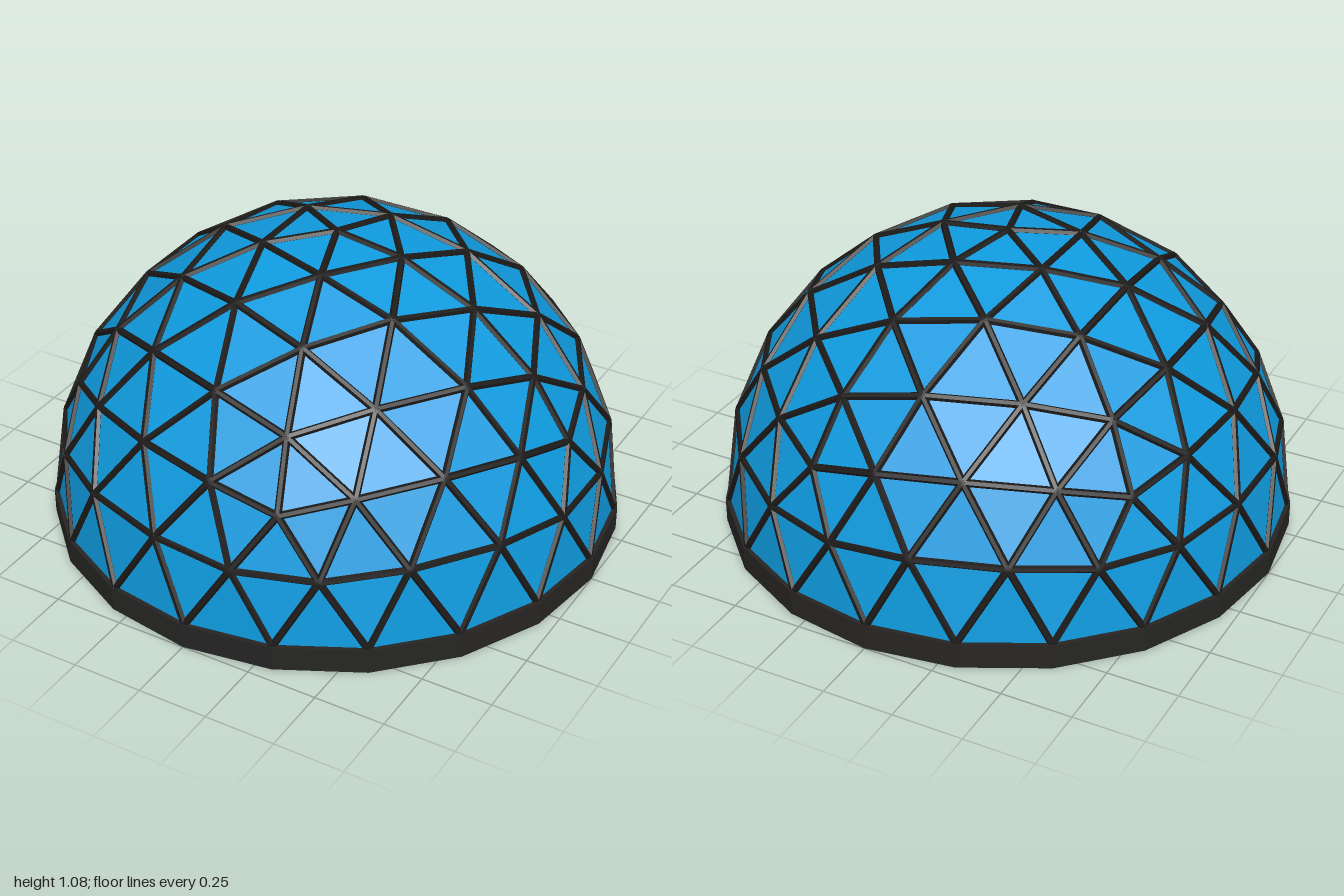
import * as THREE from 'three';
import { mergeGeometries } from 'three/addons/utils/BufferGeometryUtils.js';

const R = 0.985;        // dome radius
const BASE_Y = 0.083;   // height of the dome's equator
const FREQ = 4;         // subdivisions per icosahedron edge
const STRUT = 0.0125;   // strut radius

// Point of a unit sphere at an azimuth (degrees) and height
function onSphere(deg, y) {
  const a = THREE.MathUtils.degToRad(deg), r = Math.sqrt(1 - y * y);
  return new THREE.Vector3(r * Math.cos(a), y, r * Math.sin(a));
}

// Split an icosahedron face into FREQ * FREQ triangles pushed out to the sphere
function subdivide(a, b, c) {
  const at = (i, j) => a.clone().multiplyScalar(FREQ - i - j)
    .addScaledVector(b, i).addScaledVector(c, j).setLength(R);
  const out = [];
  for (let i = 0; i < FREQ; i++) {
    for (let j = 0; j < FREQ - i; j++) {
      out.push([at(i, j), at(i + 1, j), at(i, j + 1)]);
      if (i + j < FREQ - 1) out.push([at(i + 1, j), at(i + 1, j + 1), at(i, j + 1)]);
    }
  }
  return out;
}

// Triangles of the upper half of the geodesic sphere
function domeTriangles() {
  const h = 1 / Math.sqrt(5), apex = new THREE.Vector3(0, 1, 0);
  const triangles = [];
  for (let k = 0; k < 5; k++) {
    const up = onSphere(72 * k, h), upNext = onSphere(72 * (k + 1), h);
    const low = onSphere(72 * k + 36, -h), lowNext = onSphere(72 * k + 108, -h);
    triangles.push(
      ...subdivide(apex, upNext, up),
      ...subdivide(up, upNext, low),
      ...subdivide(upNext, lowNext, low));
  }
  return triangles.filter(t => t.every(p => p.y > -1e-4));
}

function strutGeometry(p, q) {
  const dir = q.clone().sub(p), mid = p.clone().add(q).multiplyScalar(0.5);
  const geo = new THREE.CylinderGeometry(STRUT, STRUT, dir.length(), 6);
  // Aim the strut along the edge with one flat side facing outward
  const y = dir.normalize(), z = mid.clone().normalize();
  const x = new THREE.Vector3().crossVectors(y, z).normalize();
  geo.rotateY(Math.PI / 6);
  geo.applyMatrix4(new THREE.Matrix4().makeBasis(x, y, z).setPosition(mid));
  return geo;
}

export function createModel() {
  const group = new THREE.Group();
  group.name = 'geodesicDome';
  const blue = new THREE.MeshStandardMaterial({ color: 0x0f9ade, flatShading: true, side: THREE.DoubleSide });
  const black = new THREE.MeshStandardMaterial({ color: 0x1c1a19, flatShading: true });
  const ringBlack = new THREE.MeshStandardMaterial({ color: 0x262524, flatShading: true });

  const add = (name, geometry, material, y = 0) => {
    const mesh = new THREE.Mesh(geometry, material);
    mesh.name = name;
    mesh.position.y = y;
    group.add(mesh);
  };

  // Flat triangular panels
  const triangles = domeTriangles();
  const corners = [];
  for (const [a, b, c] of triangles) {
    const outward = b.clone().sub(a).cross(c.clone().sub(a)).dot(a) > 0;
    corners.push(...(outward ? [a, b, c] : [a, c, b]));
  }
  const panels = new THREE.BufferGeometry().setFromPoints(corners);
  panels.computeVertexNormals();
  add('panels', panels, blue, BASE_Y);

  // One strut per shared edge; the base ring covers the equator edges
  const key = p => p.toArray().map(v => Math.round(v * 1000)).map(v => v + 0).join(',');
  const edges = new Map();
  for (const t of triangles) {
    t.forEach((p, i) => {
      const q = t[(i + 1) % 3];
      if (p.y + q.y > 1e-3) edges.set([key(p), key(q)].sort().join('|'), [p, q]);
    });
  }
  const struts = [...edges.values()].map(([p, q]) => strutGeometry(p, q));
  add('struts', mergeGeometries(struts), black, BASE_Y);

  // Twenty-sided base ring with a rectangular section
  const section = [[0.965, 0], [1, 0], [1, 0.089], [0.965, 0.089], [0.965, 0]]
    .map(([x, y]) => new THREE.Vector2(x, y));
  add('baseRing', new THREE.LatheGeometry(section, 20), ringBlack);

  return group;
}
